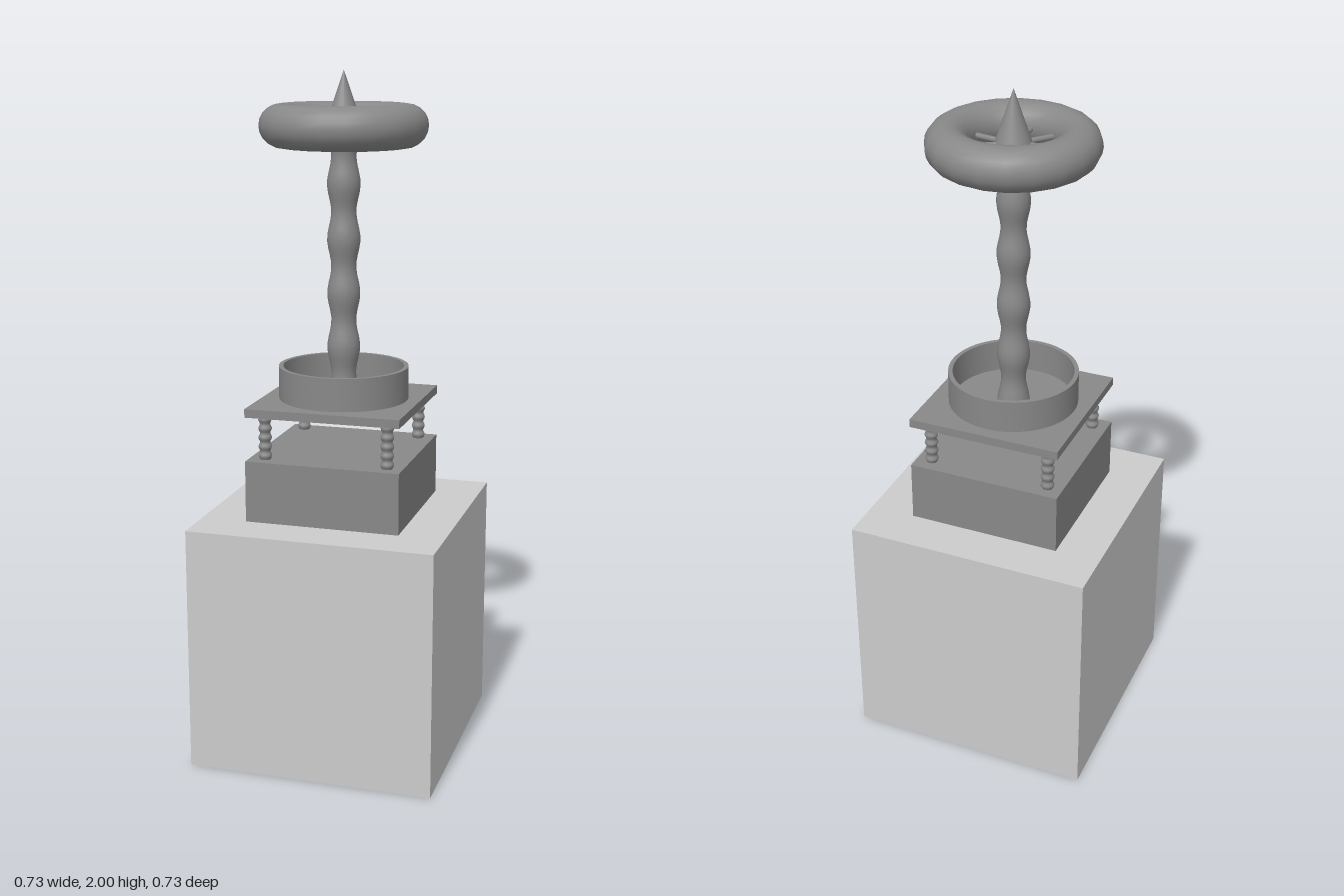
import * as THREE from 'three';
import { toCreasedNormals } from 'three/addons/utils/BufferGeometryUtils.js';

const pale = new THREE.MeshStandardMaterial({ color: 0xcccccc });
const dark = new THREE.MeshStandardMaterial({ color: 0x888888 });

function add(parent, name, geometry, y, material = dark) {
  const mesh = new THREE.Mesh(geometry, material);
  mesh.name = name;
  mesh.position.y = y;
  parent.add(mesh);
  return mesh;
}

// Round shaft whose radius swells and narrows along its height
function wavyShaft(y0, y1, radius, swell, period, crest, steps, sides) {
  const points = [];
  for (let i = 0; i <= steps; i++) {
    const y = y0 + (y1 - y0) * i / steps;
    points.push(new THREE.Vector2(radius + swell * Math.cos(2 * Math.PI * (y - crest) / period), y));
  }
  return new THREE.LatheGeometry(points, sides);
}

export function createModel() {
  const model = new THREE.Group();
  model.name = 'pedestalOrnament';

  // Stacked blocks
  add(model, 'pedestal', new THREE.BoxGeometry(0.725, 0.725, 0.725), 0.3625, pale);
  add(model, 'plinth', new THREE.BoxGeometry(0.456, 0.18, 0.456), 0.815);
  add(model, 'platform', new THREE.BoxGeometry(0.456, 0.025, 0.456), 1.0475);

  // Ribbed corner posts
  const postGeometry = wavyShaft(0, 0.135, 0.0175, 0.0025, 0.027, 0.0135, 30, 12);
  for (const x of [-0.182, 0.182]) {
    for (const z of [-0.182, 0.182]) {
      add(model, 'cornerPost', postGeometry, 0.902).position.set(x, 0.902, z);
    }
  }

  // Open collar on the platform
  const collar = new THREE.Shape().absarc(0, 0, 0.19, 0, Math.PI * 2);
  collar.holes.push(new THREE.Path().absarc(0, 0, 0.177, 0, Math.PI * 2, true));
  const collarGeometry = new THREE.ExtrudeGeometry(collar, { depth: 0.096, bevelEnabled: false, curveSegments: 32 });
  collarGeometry.rotateX(-Math.PI / 2);
  add(model, 'collar', toCreasedNormals(collarGeometry, 0.6), 1.06);

  // Wavy column and pointed finial
  add(model, 'column', wavyShaft(1.06, 1.857, 0.042, 0.006, 0.157, 1.84, 40, 20), 0);
  add(model, 'finial', new THREE.ConeGeometry(0.05, 0.145, 20), 1.9275);

  // Wheel: rim with nine spokes
  const wheel = new THREE.Group();
  wheel.name = 'wheel';
  wheel.position.y = 1.846;
  model.add(wheel);
  const rim = new THREE.TorusGeometry(0.18, 0.061, 20, 20).rotateX(Math.PI / 2);
  add(wheel, 'rim', rim, 0);
  const spokeGeometry = new THREE.CylinderGeometry(0.008, 0.008, 0.14, 10)
    .rotateX(Math.PI / 2).translate(0, 0, 0.1);
  for (let i = 0; i < 9; i++) {
    add(wheel, 'spoke', spokeGeometry, 0).rotation.y = i * Math.PI * 2 / 9;
  }
  return model;
}
